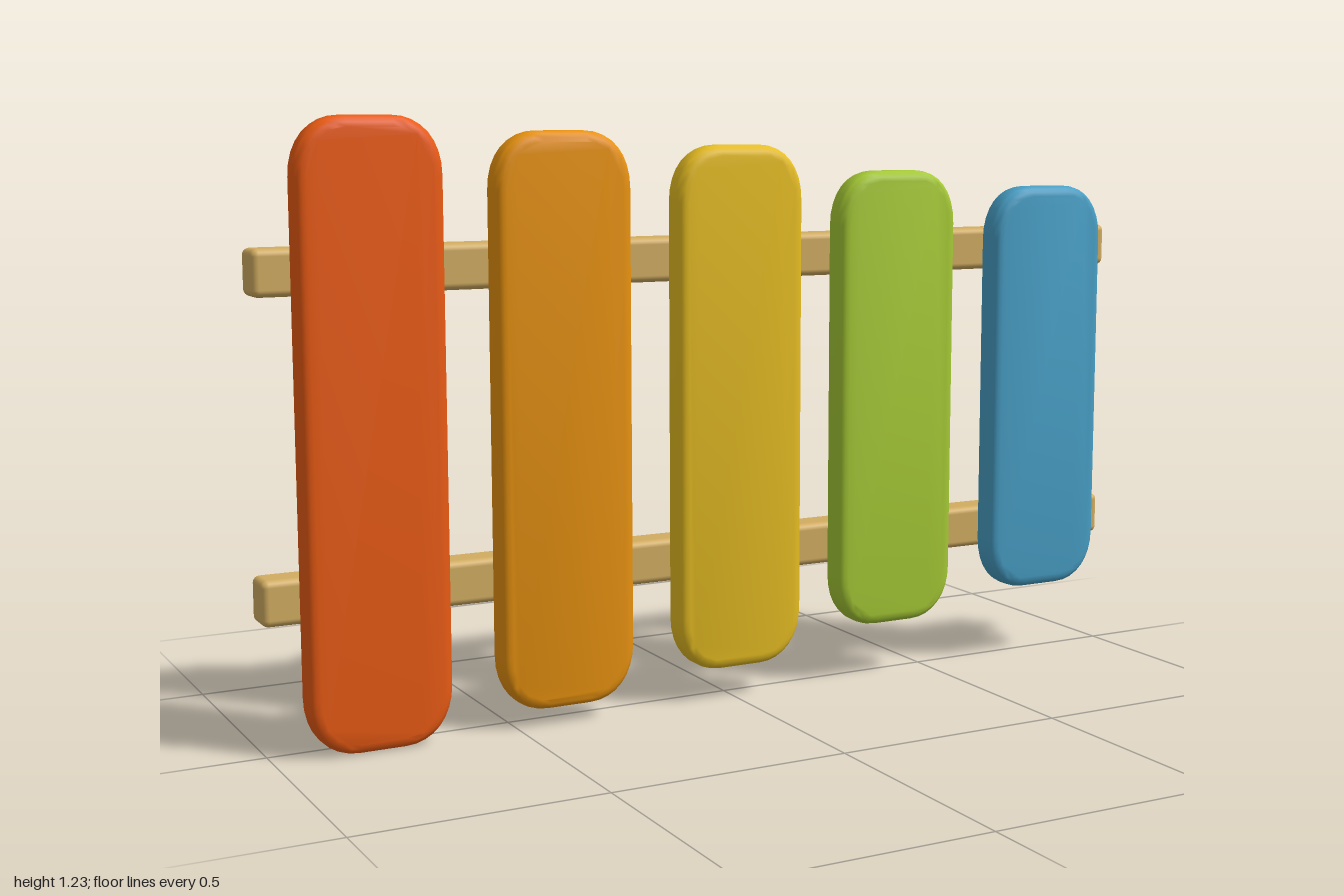
import * as THREE from 'three';
import { toCreasedNormals } from 'three/addons/utils/BufferGeometryUtils.js';
import { RoundedBoxGeometry } from 'three/addons/geometries/RoundedBoxGeometry.js';

const BEVEL = 0.022;

// Upright slat outline with softly rounded corners, centred on the origin
function slatShape(width, height) {
  const w = width / 2, h = height / 2;
  const rx = 0.1, ry = 0.115, k = 0.6;
  const s = new THREE.Shape();
  s.moveTo(w, -h + ry);
  s.lineTo(w, h - ry);
  s.bezierCurveTo(w, h - ry + k * ry, w - rx + k * rx, h, w - rx, h);
  s.lineTo(-w + rx, h);
  s.bezierCurveTo(-w + rx - k * rx, h, -w, h - ry + k * ry, -w, h - ry);
  s.lineTo(-w, -h + ry);
  s.bezierCurveTo(-w, -h + ry - k * ry, -w + rx - k * rx, -h, -w + rx, -h);
  s.lineTo(w - rx, -h);
  s.bezierCurveTo(w - rx + k * rx, -h, w, -h + ry - k * ry, w, -h + ry);
  return s;
}

function makeSlat({ name, x, bottom, top, color }) {
  const depth = 0.067;
  const geo = new THREE.ExtrudeGeometry(slatShape(0.294, top - bottom), {
    depth: depth - 2 * BEVEL,
    bevelEnabled: true,
    bevelThickness: BEVEL,
    bevelSize: BEVEL,
    bevelOffset: -BEVEL,
    bevelSegments: 4,
    curveSegments: 8,
  });
  const mesh = new THREE.Mesh(
    toCreasedNormals(geo, 0.8),
    new THREE.MeshStandardMaterial({ color })
  );
  mesh.name = name;
  mesh.position.set(x, (bottom + top) / 2, 0.006 + BEVEL);
  return mesh;
}

export function createModel() {
  const model = new THREE.Group();
  model.name = 'slatFence';

  // Coloured slats, tallest to shortest
  const slats = [
    { name: 'redSlat', x: -0.786, bottom: 0, top: 1.23, color: 0xea5b14 },
    { name: 'orangeSlat', x: -0.389, bottom: 0.035, top: 1.2, color: 0xe8920f },
    { name: 'yellowSlat', x: 0.008, bottom: 0.068, top: 1.17, color: 0xe6bd22 },
    { name: 'greenSlat', x: 0.393, bottom: 0.12, top: 1.113, color: 0xa5c935 },
    { name: 'blueSlat', x: 0.792, bottom: 0.162, top: 1.074, color: 0x489fc6 },
  ];
  for (const slat of slats) model.add(makeSlat(slat));

  // Wooden rails behind the slats
  const railGeo = new RoundedBoxGeometry(2, 0.092, 0.077, 3, 0.014);
  const wood = new THREE.MeshStandardMaterial({ color: 0xd2ad62 });
  for (const [name, y] of [['lowerRail', 0.301], ['upperRail', 0.935]]) {
    const rail = new THREE.Mesh(railGeo, wood);
    rail.name = name;
    rail.position.set(0, y, -0.034);
    model.add(rail);
  }

  return model;
}
